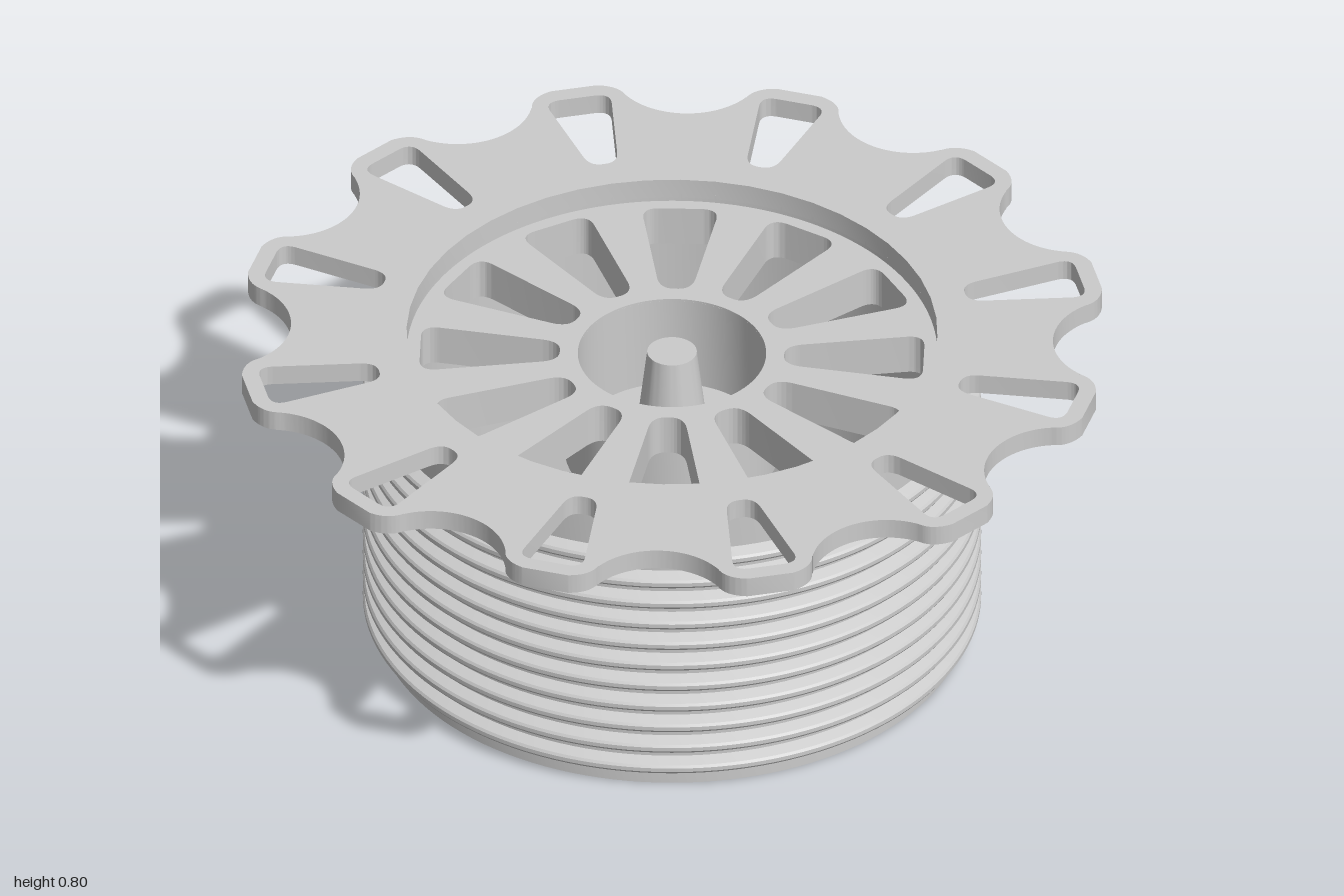
import * as THREE from 'three';
import { toCreasedNormals } from 'three/addons/utils/BufferGeometryUtils.js';

const COUNT = 12;
const STEP = (Math.PI * 2) / COUNT;
const material = new THREE.MeshStandardMaterial({ color: 0xcccccc });

// Turns radial/sideways coordinates around a spoke angle into plane coordinates
function polar(angle, u, v) {
  const c = Math.cos(angle), s = Math.sin(angle);
  return new THREE.Vector2(u * c - v * s, u * s + v * c);
}

// Tapered slot with rounded corners, lying along a spoke angle
function slot(angle, inner, innerHalf, outer, outerHalf, round) {
  const corners = [
    polar(angle, inner, -innerHalf), polar(angle, outer, -outerHalf),
    polar(angle, outer, outerHalf), polar(angle, inner, innerHalf),
  ];
  const path = new THREE.Path();
  corners.forEach((p, i) => {
    const prev = corners[(i + 3) % 4], next = corners[(i + 1) % 4];
    const toward = (q) => p.clone().add(
      q.clone().sub(p).setLength(Math.min(round, q.distanceTo(p) * 0.45)));
    const a = toward(prev), b = toward(next);
    if (i === 0) path.moveTo(a.x, a.y); else path.lineTo(a.x, a.y);
    path.quadraticCurveTo(p.x, p.y, b.x, b.y);
  });
  path.closePath();
  return path;
}

function circleHole(radius) {
  return new THREE.Path().absarc(0, 0, radius, 0, Math.PI * 2, true);
}

// Horizontal slab from a flat shape, between two heights
function slab(name, shape, bottom, top, curveSegments) {
  const geometry = new THREE.ExtrudeGeometry(shape, {
    depth: top - bottom, bevelEnabled: false, curveSegments,
  });
  geometry.rotateX(-Math.PI / 2);
  geometry.translate(0, bottom, 0);
  const mesh = new THREE.Mesh(toCreasedNormals(geometry, 0.6), material);
  mesh.name = name;
  return mesh;
}

// Turned part from [radius, height] pairs
function turned(name, pairs, segments) {
  const points = pairs.map(([r, y]) => new THREE.Vector2(r, y));
  const geometry = new THREE.LatheGeometry(points, segments);
  const mesh = new THREE.Mesh(toCreasedNormals(geometry, 0.5), material);
  mesh.name = name;
  return mesh;
}

// Scalloped outer plate with a slot in each lobe
function createFlange() {
  const shape = new THREE.Shape();
  for (let i = 0; i < COUNT; i++) {
    const a = (i + 0.5) * STEP;
    const at = (u, v) => polar(a, u, v).toArray();
    if (i === 0) shape.moveTo(...at(0.96, -0.113));
    shape.quadraticCurveTo(...at(1.004, -0.105), ...at(1.018, -0.055));
    shape.lineTo(...at(1.018, 0.055));
    shape.quadraticCurveTo(...at(1.004, 0.105), ...at(0.96, 0.113));
    const b = a + STEP / 2;
    const c = polar(b, 1.065, 0);
    shape.absarc(c.x, c.y, 0.175, b + Math.PI + 0.93, b + Math.PI - 0.93, true);
    shape.holes.push(slot(a, 0.702, 0.034, 0.978, 0.08, 0.04));
  }
  shape.holes.push(circleHole(0.62));
  return slab('flange', shape, 0.75, 0.8, 24);
}

// Recessed spoked web inside the flange
function createSpokes() {
  const shape = new THREE.Shape().absarc(0, 0, 0.64, 0, Math.PI * 2, false);
  for (let i = 0; i < COUNT; i++) {
    shape.holes.push(slot(i * STEP, 0.262, 0.038, 0.588, 0.092, 0.045));
  }
  shape.holes.push(circleHole(0.22));
  return slab('spokedWeb', shape, 0.64, 0.74, 48);
}

// Hollow barrel with ridges around the outside
function createBarrel() {
  const profile = [[0.62, 0], [0.692, 0]];
  for (let i = 0; i < 11; i++) {
    const y = 0.056 + i * 0.0586;
    profile.push([0.692, y - 0.021], [0.718, y - 0.011], [0.722, y - 0.005],
      [0.722, y + 0.005], [0.718, y + 0.011], [0.692, y + 0.021]);
  }
  profile.push([0.692, 0.76], [0.62, 0.76], [0.62, 0]);
  return turned('ridgedBarrel', profile, 128);
}

export function createModel() {
  const group = new THREE.Group();
  group.name = 'slottedCap';
  group.add(createFlange(), createSpokes(), createBarrel());

  // Deep cup at the centre
  group.add(turned('hubCup', [
    [0, 0.46], [0.25, 0.46], [0.25, 0.735], [0.22, 0.735], [0.22, 0.5], [0, 0.5],
  ], 64));

  // Tapered pin standing in the cup
  group.add(turned('centrePin', [[0.088, 0.49], [0.058, 0.745], [0, 0.745]], 48));
  return group;
}
